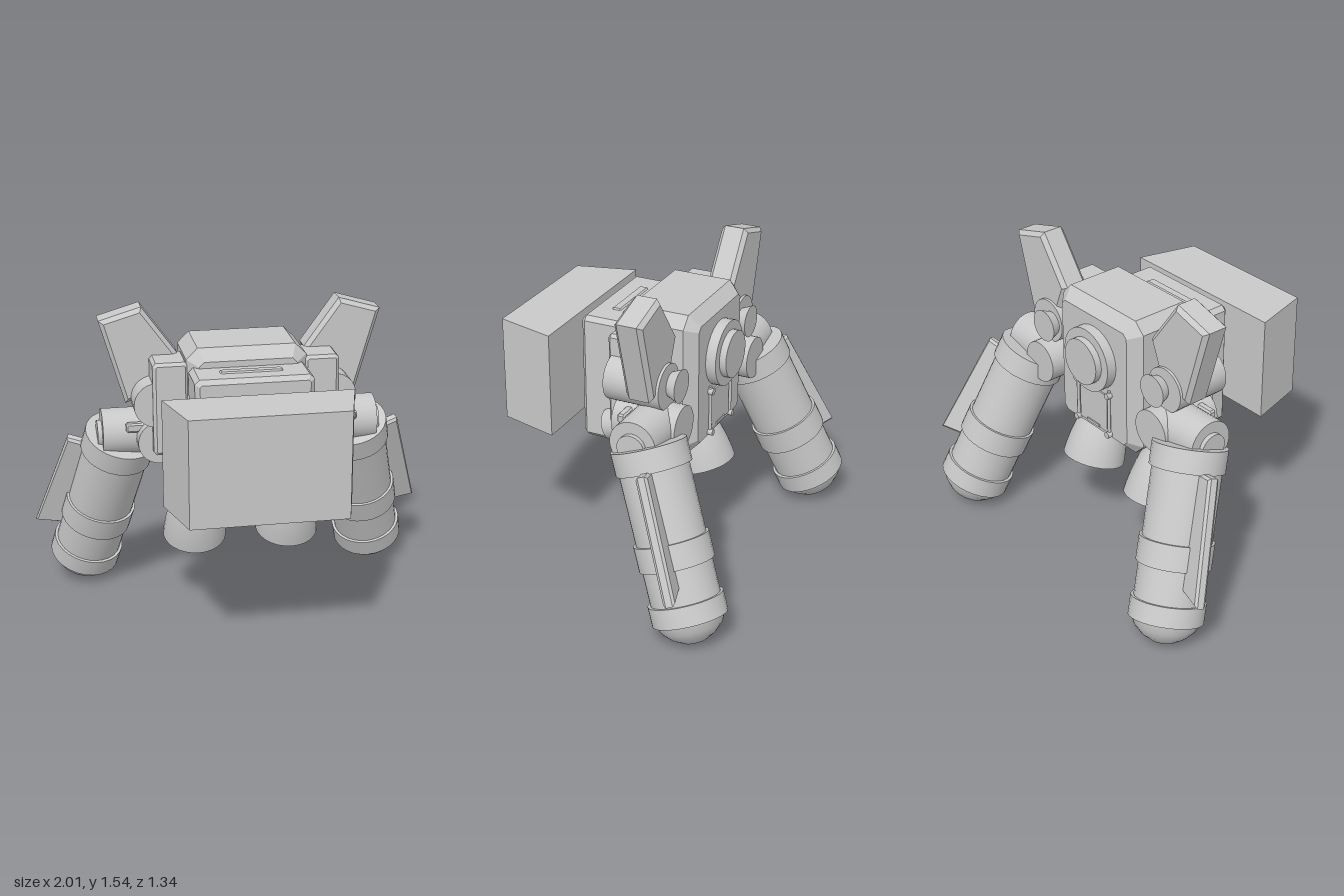
import * as THREE from 'three';
import { toCreasedNormals } from 'three/addons/utils/BufferGeometryUtils.js';

const grey = new THREE.MeshStandardMaterial({ color: 0xc8c8c8 });
grey.name = 'light grey';

// Mirror a geometry across x = 0, keeping faces outward
function mirrorX(geo) {
  const g = geo.index ? geo.toNonIndexed() : geo.clone();
  g.scale(-1, 1, 1);
  const swap = (attr) => {
    const a = new THREE.Vector3(), b = new THREE.Vector3();
    for (let i = 0; i < attr.count; i += 3) {
      a.fromBufferAttribute(attr, i + 1);
      b.fromBufferAttribute(attr, i + 2);
      attr.setXYZ(i + 1, b.x, b.y, b.z);
      attr.setXYZ(i + 2, a.x, a.y, a.z);
    }
  };
  swap(g.attributes.position);
  swap(g.attributes.normal);
  return g;
}

const crease = (g) => toCreasedNormals(g, 0.6);

// Outline extruded along z with a bevel, centred on z = 0
function plate(points, depth, bevel) {
  const shape = new THREE.Shape(points.map(([x, y]) => new THREE.Vector2(x, y)));
  const g = new THREE.ExtrudeGeometry(shape, {
    depth: depth - 2 * bevel, bevelSize: bevel,
    bevelThickness: bevel, bevelOffset: -bevel, bevelSegments: 1,
  });
  return g.translate(0, 0, -depth / 2 + bevel);
}

// Box with every edge chamfered
function chamferBox(w, h, d, c) {
  const x = w / 2, y = h / 2;
  return plate([[c - x, -y], [x - c, -y], [x, c - y], [x, y - c],
    [x - c, y], [c - x, y], [-x, y - c], [-x, c - y]], d, c);
}

// Cylinder along z between two z values, from front radius to back radius
function zCylinder(x, y, zFront, zBack, rFront, rBack = rFront) {
  return crease(new THREE.CylinderGeometry(rFront, rBack, zFront - zBack, 28)
    .rotateX(Math.PI / 2).translate(x, y, (zFront + zBack) / 2));
}

function xCylinder(x0, x1, y, z, r) {
  return crease(new THREE.CylinderGeometry(r, r, x1 - x0, 28)
    .rotateZ(Math.PI / 2).translate((x0 + x1) / 2, y, z));
}

function lathe(profile) {
  return crease(new THREE.LatheGeometry(profile.map(([r, y]) => new THREE.Vector2(r, y)), 28));
}

export function createModel() {
  const model = new THREE.Group();
  model.name = 'thrusterPack';

  const add = (name, geo) => {
    const mesh = new THREE.Mesh(geo, grey);
    mesh.name = name;
    model.add(mesh);
  };
  const addPair = (name, geo) => {
    add(name + 'Left', geo);
    add(name + 'Right', mirrorX(geo));
  };

  // Central body and front slab
  add('body', chamferBox(0.58, 0.71, 0.4, 0.055).translate(0, 1.02, -0.1));
  add('frontSlab', chamferBox(0.565, 0.63, 0.24, 0.022).translate(0, 0.975, 0.17));
  add('slabSlot', chamferBox(0.3, 0.02, 0.05, 0.008).translate(0, 1.287, 0.17));

  // Floating front block, tapering in width towards the front
  const block = new THREE.BoxGeometry(0.9, 0.52, 0.295);
  const p = block.attributes.position;
  for (let i = 0; i < p.count; i++) if (p.getZ(i) > 0) p.setX(i, p.getX(i) * 0.825);
  block.translate(0, 0.978, 0.515);
  block.computeVertexNormals();
  add('frontBlock', block);

  // Round port and hatch on the back
  add('portRing', zCylinder(0, 1.11, -0.28, -0.35, 0.16));
  add('portCap', zCylinder(0, 1.11, -0.34, -0.383, 0.115));
  add('hatch', new THREE.BoxGeometry(0.2, 0.2, 0.01).translate(0, 0.84, -0.303));
  add('hatchLatch', new THREE.BoxGeometry(0.09, 0.014, 0.014).translate(0, 0.75, -0.307));
  addPair('hatchRod', new THREE.CylinderGeometry(0.008, 0.008, 0.25, 8).translate(0.115, 0.85, -0.308));
  for (const [name, y] of [['lowerPeg', 0.735], ['upperPeg', 0.95]]) {
    addPair(name, zCylinder(0.115, y, -0.29, -0.325, 0.016));
  }

  // Side housings and their hinge drums
  addPair('sideHousing', chamferBox(0.17, 0.46, 0.21, 0.015).translate(0.365, 1.08, -0.045));
  addPair('upperHinge', zCylinder(0.43, 1.1, 0.04, -0.24, 0.11));
  addPair('upperHingeCap', zCylinder(0.4, 1.1, -0.23, -0.29, 0.055, 0.08));
  addPair('lowerHinge', zCylinder(0.415, 0.9, 0.01, -0.31, 0.105));

  // Upper fins
  addPair('upperFin', plate([[0.48, 1.545], [0.31, 1.31], [0.37, 1.16],
    [0.565, 1.07], [0.685, 1.485]], 0.137, 0.02).translate(0, 0, -0.158));

  // Shoulder joints
  addPair('shoulder', xCylinder(0.4, 0.68, 0.905, -0.18, 0.115));
  addPair('shoulderCap', xCylinder(0.67, 0.702, 0.895, -0.18, 0.068));
  addPair('shoulderTab', chamferBox(0.1, 0.045, 0.04, 0.008).translate(0.52, 0.96, -0.065));

  // Booster tanks, splayed outwards and backwards
  const down = new THREE.Vector3(0.239, -1, -0.4).normalize();
  const out = new THREE.Vector3(0.936, 0.293, -0.2);
  out.addScaledVector(down, -out.dot(down)).normalize();
  const up = down.clone().negate();
  const frame = new THREE.Matrix4()
    .makeBasis(out, up, new THREE.Vector3().crossVectors(out, up))
    .setPosition(0.582, 0.872, -0.212);
  const tank = lathe([[0, -0.94], [0.055, -0.928], [0.105, -0.9], [0.145, -0.86], [0.163, -0.82],
    [0.178, -0.82], [0.178, -0.725], [0.164, -0.725], [0.164, -0.56], [0.177, -0.56],
    [0.177, -0.44], [0.164, -0.44], [0.164, -0.11], [0.178, -0.11], [0.178, 0], [0, 0]]);
  addPair('tank', tank.applyMatrix4(frame));
  const tankFin = plate([[0.13, -0.1], [0.13, -0.645], [0.29, -0.69], [0.25, -0.105]], 0.055, 0.012);
  addPair('tankFin', tankFin.applyMatrix4(frame));

  // Engine mounts and hollow bell nozzles, tilted backwards
  addPair('engineMount', chamferBox(0.25, 0.17, 0.22, 0.025).translate(0.235, 0.695, -0.025));
  addPair('mountPivot', crease(new THREE.CylinderGeometry(0.075, 0.085, 0.18, 20)
    .rotateX(Math.PI / 2 + 0.3).translate(0.29, 0.785, 0.055)));
  const nozzle = lathe([[0, -0.03], [0.085, -0.04], [0.115, -0.12], [0.135, -0.2], [0.145, -0.27],
    [0.157, -0.275], [0.154, -0.235], [0.145, -0.17], [0.125, -0.08], [0.098, -0.012], [0.088, 0.02], [0, 0.02]]);
  addPair('nozzle', nozzle.rotateX(0.31).translate(0.235, 0.62, -0.042));

  return model;
}
